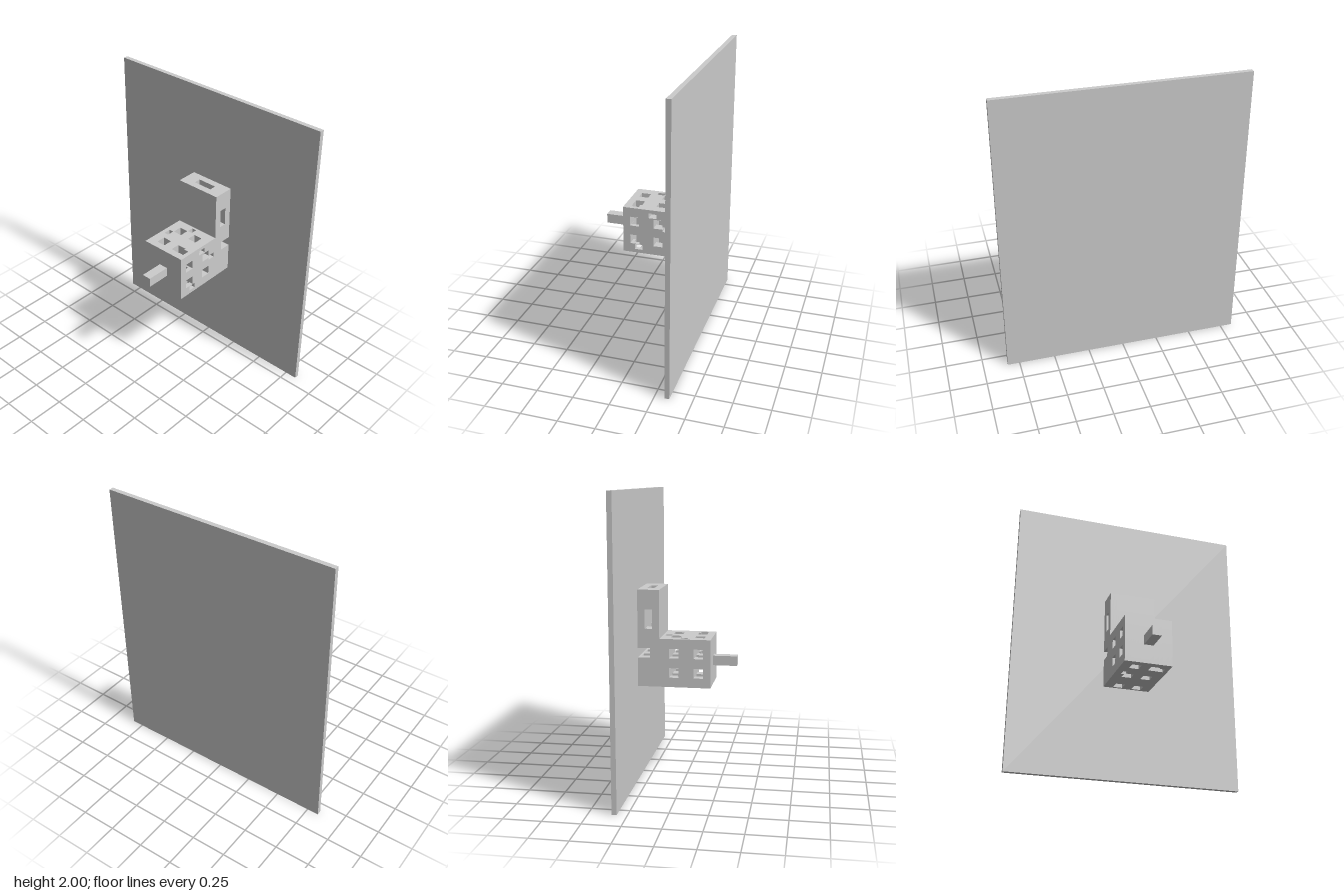
import * as THREE from 'three';

const grey = new THREE.MeshStandardMaterial({ color: 0xcccccc, flatShading: true });

// Boxes are [x0, x1, y0, y1, z0, z1]
function addBox(group, name, [x0, x1, y0, y1, z0, z1]) {
  const mesh = new THREE.Mesh(new THREE.BoxGeometry(x1 - x0, y1 - y0, z1 - z0), grey);
  mesh.position.set((x0 + x1) / 2, (y0 + y1) / 2, (z0 + z1) / 2);
  mesh.name = name;
  group.add(mesh);
}

// Union of solid boxes minus hole boxes: split space at every box edge,
// then skin the boundary between filled and empty cells.
function carve(solids, holes) {
  const all = [...solids, ...holes];
  const cuts = [0, 1, 2].map(a =>
    [...new Set(all.flatMap(b => [b[2 * a], b[2 * a + 1]]))].sort((p, q) => p - q));
  const inside = (b, p) => p.every((v, a) => v > b[2 * a] && v < b[2 * a + 1]);
  const filled = c => {
    if (c.some((i, a) => i < 0 || i >= cuts[a].length - 1)) return false;
    const p = c.map((i, a) => (cuts[a][i] + cuts[a][i + 1]) / 2);
    return solids.some(b => inside(b, p)) && !holes.some(b => inside(b, p));
  };
  const positions = [];
  for (let i = 0; i < cuts[0].length - 1; i++)
    for (let j = 0; j < cuts[1].length - 1; j++)
      for (let k = 0; k < cuts[2].length - 1; k++) {
        const cell = [i, j, k];
        if (!filled(cell)) continue;
        for (let a = 0; a < 3; a++)
          for (const side of [0, 1]) {
            const next = [...cell];
            next[a] += side ? 1 : -1;
            if (filled(next)) continue;
            const u = (a + 1) % 3, v = (a + 2) % 3;
            const corner = (du, dv) => {
              const p = [];
              p[a] = cuts[a][cell[a] + side];
              p[u] = cuts[u][cell[u] + du];
              p[v] = cuts[v][cell[v] + dv];
              return p;
            };
            const q = [corner(0, 0), corner(1, 0), corner(1, 1), corner(0, 1)];
            if (!side) q.reverse();
            for (const n of [0, 1, 2, 0, 2, 3]) positions.push(...q[n]);
          }
      }
  const geometry = new THREE.BufferGeometry();
  geometry.setAttribute('position', new THREE.Float32BufferAttribute(positions, 3));
  geometry.computeVertexNormals();
  return geometry;
}

export function createModel() {
  const model = new THREE.Group();
  model.name = 'wallMountedBlock';

  // Wall panel and front peg
  addBox(model, 'wallPanel', [-0.833, 0.833, 0, 2, -0.35, -0.317]);
  addBox(model, 'frontPeg', [-0.033, 0.033, 0.8, 0.867, 0.183, 0.35]);

  // Body with its raised back
  const W = 0.167;
  const solids = [
    [-W, W, 0.667, 1, -0.317, 0.183],
    [-W, W, 1, 1.333, -0.317, -0.167],
  ];
  const holes = [];

  // Square channels running across and down through the body
  for (const z of [-0.1, 0.067]) {
    for (const y of [0.733, 0.867]) holes.push([-W, W, y, y + 0.066, z, z + 0.066]);
    for (const x of [-0.1, 0.034]) holes.push([x, x + 0.066, 0.667, 1, z, z + 0.066]);
  }

  // Rear notch with the two drops below it
  holes.push([-W, W, 0.867, 0.933, -0.317, -0.233]);
  for (const x of [-0.1, 0.034]) holes.push([x, x + 0.066, 0.667, 0.867, -0.3, -0.233]);

  // Slots through the raised back
  holes.push([-0.07, 0.07, 0.9, 1.333, -0.267, -0.217]);
  holes.push([-W, W, 1.067, 1.2, -0.267, -0.217]);

  // Small stepped holes in the top
  holes.push(
    [-0.031, 0.004, 0.86, 1, -0.15, -0.105],
    [-0.137, -0.104, 0.83, 1, -0.03, 0.022],
    [-0.12, -0.09, 0.667, 0.83, -0.05, 0],
    [0.1, 0.137, 0.83, 1, 0.08, 0.131],
    [0.1, 0.137, 0.667, 0.83, 0.065, 0.115],
  );

  // Small pockets in the side
  holes.push(
    [0.1, W, 0.94, 0.976, -0.055, 0],
    [0.1, W, 0.693, 0.73, 0.045, 0.098],
    [0.1, W, 0.85, 0.886, -0.153, -0.098],
  );

  const body = new THREE.Mesh(carve(solids, holes), grey);
  body.name = 'perforatedBody';
  model.add(body);
  return model;
}
